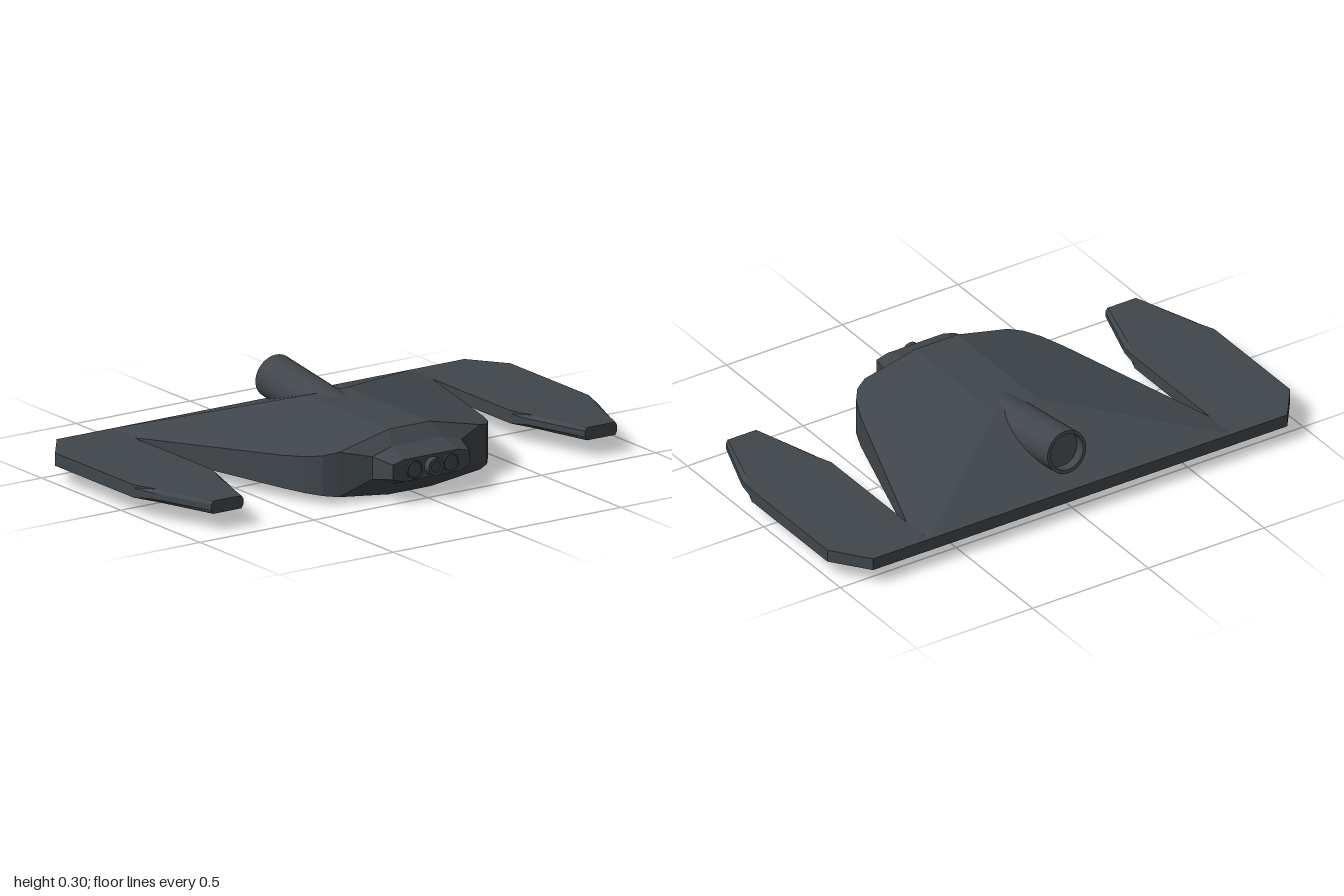
import * as THREE from 'three';
import { toCreasedNormals } from 'three/addons/utils/BufferGeometryUtils.js';

const mirror = ([x, y, z]) => [-x, y, z];

// Collects flat polygons; side() adds a polygon and its mirror image.
function faceBuilder() {
  const pos = [];
  const face = (pts) => {
    for (let i = 1; i < pts.length - 1; i++) pos.push(...pts[0], ...pts[i], ...pts[i + 1]);
  };
  const side = (pts) => {
    face(pts);
    face(pts.map(mirror).reverse());
  };
  const build = () => {
    const g = new THREE.BufferGeometry();
    g.setAttribute('position', new THREE.Float32BufferAttribute(pos, 3));
    g.computeVertexNormals();
    return g;
  };
  return { face, side, build };
}

const RIDGE = 0.09, APEX = -0.14, FRONT = 0.385, BACK = -0.555;
const topY = (x) => 0.25 - (x - RIDGE) * 0.23;
const bottomY = (x) => 0.005 + (x - RIDGE) * 0.118;

// Sloped hull cut by a vertical-walled plan outline
function hullGeometry() {
  const { face, side, build } = faceBuilder();
  const plan = [[0.31, FRONT], [0.36, 0.357], [0.4, 0.305], [0.44, 0.215], [0.655, -0.41], [0.655, BACK]];
  const outline = [[RIDGE, APEX], [RIDGE, FRONT], ...plan];
  const top = outline.map(([x, z]) => [x, topY(x), z]);
  const low = outline.map(([x, z]) => [x, bottomY(x), z]);
  const last = outline.length - 1;
  side(top);
  side([...low].reverse());
  for (let i = 2; i < last; i++) side([low[i], low[i + 1], top[i + 1], top[i]]);
  // centre strip, rear slopes and trailing edge
  face([top[0], mirror(top[0]), mirror(top[1]), top[1]]);
  face([low[1], mirror(low[1]), mirror(low[0]), low[0]]);
  face([top[last], mirror(top[last]), mirror(top[0]), top[0]]);
  face([low[0], mirror(low[0]), mirror(low[last]), low[last]]);
  face([low[last], mirror(low[last]), mirror(top[last]), top[last]]);
  return build();
}

// Faceted nose through three half-rings, listed from top to bottom
function noseGeometry() {
  const { face, side, build } = faceBuilder();
  const rings = [
    [FRONT, [[RIDGE, topY(RIDGE)], [0.31, topY(0.31)], [0.31, bottomY(0.31)], [RIDGE, bottomY(RIDGE)]]],
    [0.432, [[0.11, 0.2], [0.195, 0.175], [0.195, 0.09], [0.11, 0.058]]],
    [0.522, [[0.12, 0.173], [0.168, 0.16], [0.168, 0.105], [0.12, 0.09]]],
  ].map(([z, pts]) => pts.map(([x, y]) => [x, y, z]));
  for (let r = 0; r < 2; r++) {
    const a = rings[r], b = rings[r + 1];
    for (let i = 0; i < 3; i++) side([a[i], b[i], b[i + 1], a[i + 1]]);
    face([a[0], mirror(a[0]), mirror(b[0]), b[0]]);
    face([a[3], b[3], mirror(b[3]), mirror(a[3])]);
  }
  const c = rings[2];
  face([...c.map(mirror), ...[...c].reverse()]);
  return build();
}

// Both flat forward-pointing wings, with chamfered tips
function wingGeometry() {
  const { side, build } = faceBuilder();
  const plan = [[0.655, BACK], [0.655, 0.08], [0.67, 0.17], [0.75, 0.415], [0.89, 0.415],
    [0.982, 0.17], [1, 0.08], [1, -0.415], [0.895, BACK]];
  const layer = (y, inset) => plan.map(([x, z]) =>
    [z > 0.1 ? 0.825 + (x - 0.825) * (1 - inset) : x, y, z]);
  const layers = [layer(0.072, 0.12), layer(0.086, 0), layer(0.108, 0), layer(0.12, 0.12)];
  side([...layers[0]].reverse());
  side(layers[3]);
  for (let l = 0; l < 3; l++) {
    const a = layers[l], b = layers[l + 1];
    for (let i = 0; i < plan.length; i++) {
      const j = (i + 1) % plan.length;
      side([a[i], a[j], b[j], b[i]]);
    }
  }
  return build();
}

// Cylinder along +y with a recessed end
function tubeGeometry(radius, inner, length, depth, segments) {
  const profile = [[radius, 0], [radius, length], [inner, length], [inner, length - depth], [0, length - depth]];
  const g = new THREE.LatheGeometry(profile.map(([x, y]) => new THREE.Vector2(x, y)), segments);
  return toCreasedNormals(g, 0.6);
}

export function createModel() {
  const group = new THREE.Group();
  const slate = new THREE.MeshStandardMaterial({ color: 0x40464b, side: THREE.DoubleSide });
  slate.name = 'dark slate';
  const add = (name, geometry) => {
    const mesh = new THREE.Mesh(geometry, slate);
    mesh.name = name;
    group.add(mesh);
    return mesh;
  };

  add('hull', hullGeometry());
  add('nose', noseGeometry());
  add('wings', wingGeometry());

  // Tilted exhaust emerging from the rear deck
  const tilt = 0.135, length = 0.5;
  const exhaust = add('exhaust', tubeGeometry(0.083, 0.07, length, 0.04, 32));
  exhaust.rotation.x = tilt - Math.PI / 2;
  exhaust.position.set(0.004, 0.227 - Math.sin(tilt) * length, -0.474 + Math.cos(tilt) * length);

  // Three round ports on the nose
  for (const [name, x, end, inner] of [['leftPort', 0.083, 0.53, 0.029],
    ['centrePort', 0.004, 0.55, 0.021], ['rightPort', -0.077, 0.53, 0.029]]) {
    const port = add(name, tubeGeometry(0.034, inner, end - 0.5, 0.006, 20));
    port.rotation.x = Math.PI / 2;
    port.position.set(x, 0.131, 0.5);
  }
  return group;
}
